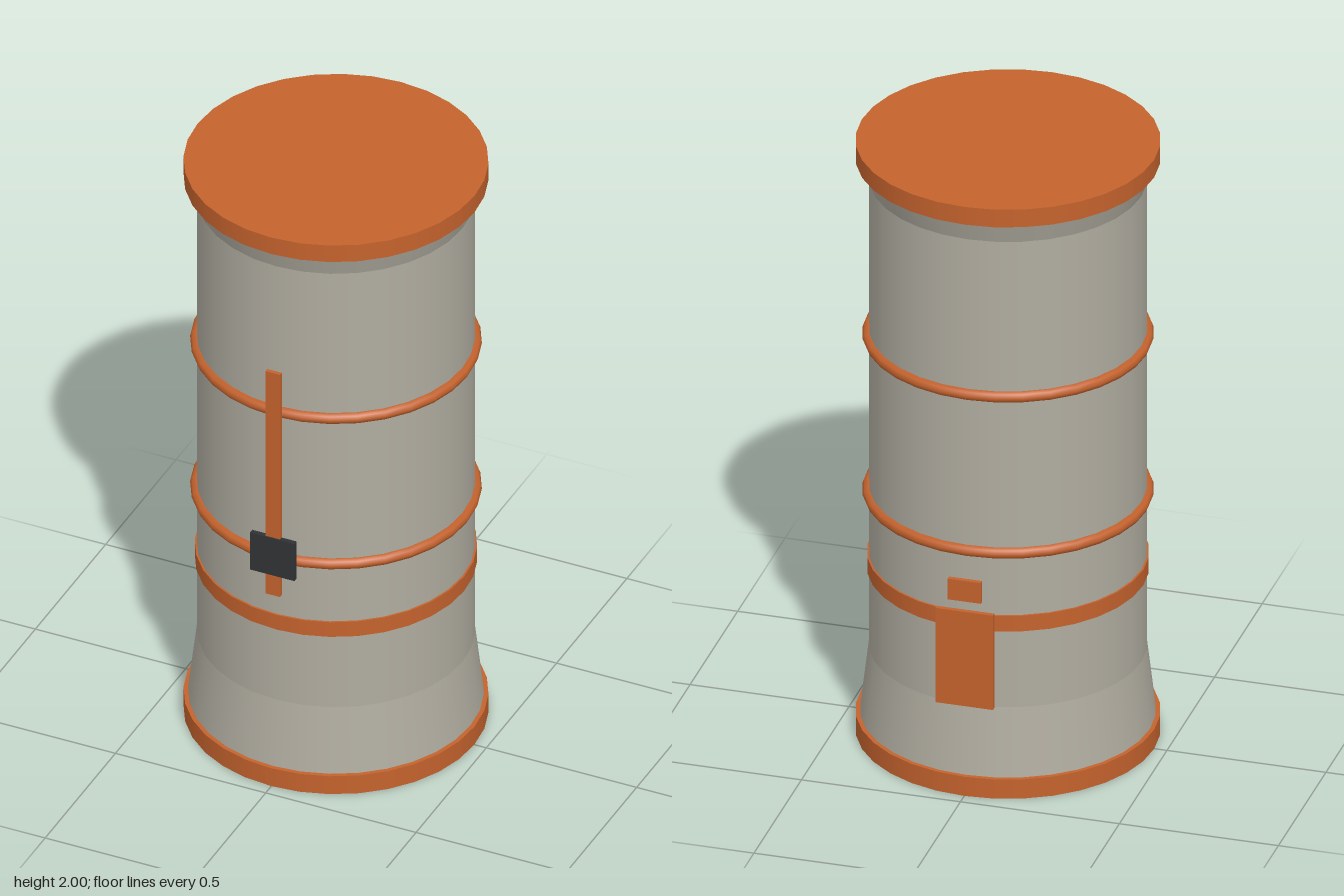
import * as THREE from 'three';

const SEGMENTS = 32;

export function createModel() {
  const model = new THREE.Group();
  model.name = 'canister';

  const material = (color, side = THREE.FrontSide) => new THREE.MeshStandardMaterial({ color, side });
  const grey = material(0xb0aca0, THREE.DoubleSide);
  const orange = material(0xc4622d);
  const orangeOpen = material(0xc4622d, THREE.DoubleSide);
  const dark = material(0x303336);
  const darkOpen = material(0x303336, THREE.DoubleSide);

  const add = (name, geometry, mat) => {
    const mesh = new THREE.Mesh(geometry, mat);
    mesh.name = name;
    model.add(mesh);
    return mesh;
  };

  // Round part between two heights
  const drum = (name, mat, y0, y1, r0, r1 = r0, open = true) => {
    const mesh = add(name, new THREE.CylinderGeometry(r1, r0, y1 - y0, SEGMENTS, 1, open), mat);
    mesh.position.y = (y0 + y1) / 2;
    return mesh;
  };

  // Flat plate given by half width and its y and z limits
  const plate = (name, mat, halfWidth, y0, y1, z0, z1) => {
    const mesh = add(name, new THREE.BoxGeometry(halfWidth * 2, y1 - y0, z1 - z0), mat);
    mesh.position.set(0, (y0 + y1) / 2, (z0 + z1) / 2);
  };

  // Flat ring or disc facing down
  const downFace = (name, geometry, mat, y) => {
    const mesh = add(name, geometry, mat);
    mesh.rotation.x = Math.PI / 2;
    mesh.position.y = y;
  };

  // Barrel with flared ends
  drum('barrel', grey, 0.29, 1.87, 0.42);
  drum('lowerFlare', grey, 0.06, 0.29, 0.447, 0.42);
  drum('upperFlare', grey, 1.87, 1.94, 0.42, 0.443);

  // Lid
  drum('lid', orange, 1.94, 2, 0.46, 0.46, false);

  // Base with a dark round opening underneath
  const opening = 0.14;
  drum('baseRim', orangeOpen, 0, 0.065, 0.46);
  downFace('baseUnderside', new THREE.RingGeometry(opening, 0.46, SEGMENTS), orange, 0);
  const baseTop = add('baseTop', new THREE.RingGeometry(opening, 0.46, SEGMENTS), orange);
  baseTop.rotation.x = -Math.PI / 2;
  baseTop.position.y = 0.065;
  drum('outletWall', darkOpen, 0, 0.3, opening);
  downFace('outletEnd', new THREE.CircleGeometry(opening, SEGMENTS), dark, 0.3);

  // Hoops and the flat band
  for (const y of [0.815, 1.345]) {
    const hoop = add('hoop', new THREE.TorusGeometry(0.422, 0.018, 8, SEGMENTS), orange);
    hoop.rotation.x = Math.PI / 2;
    hoop.position.y = y;
  }
  drum('band', orange, 0.55, 0.603, 0.426, 0.426, false);

  // Front rail and its slider
  plate('rail', orange, 0.024, 0.69, 1.5, 0.437, 0.45);
  plate('slider', dark, 0.074, 0.765, 0.9, 0.438, 0.454);

  // Rear hatch, its mount and the small tab above
  plate('hatch', orange, 0.09, 0.305, 0.625, -0.46, -0.445);
  plate('hatchMount', dark, 0.06, 0.35, 0.52, -0.445, -0.43);
  plate('hatchTab', orange, 0.052, 0.66, 0.73, -0.46, -0.445);

  return model;
}
